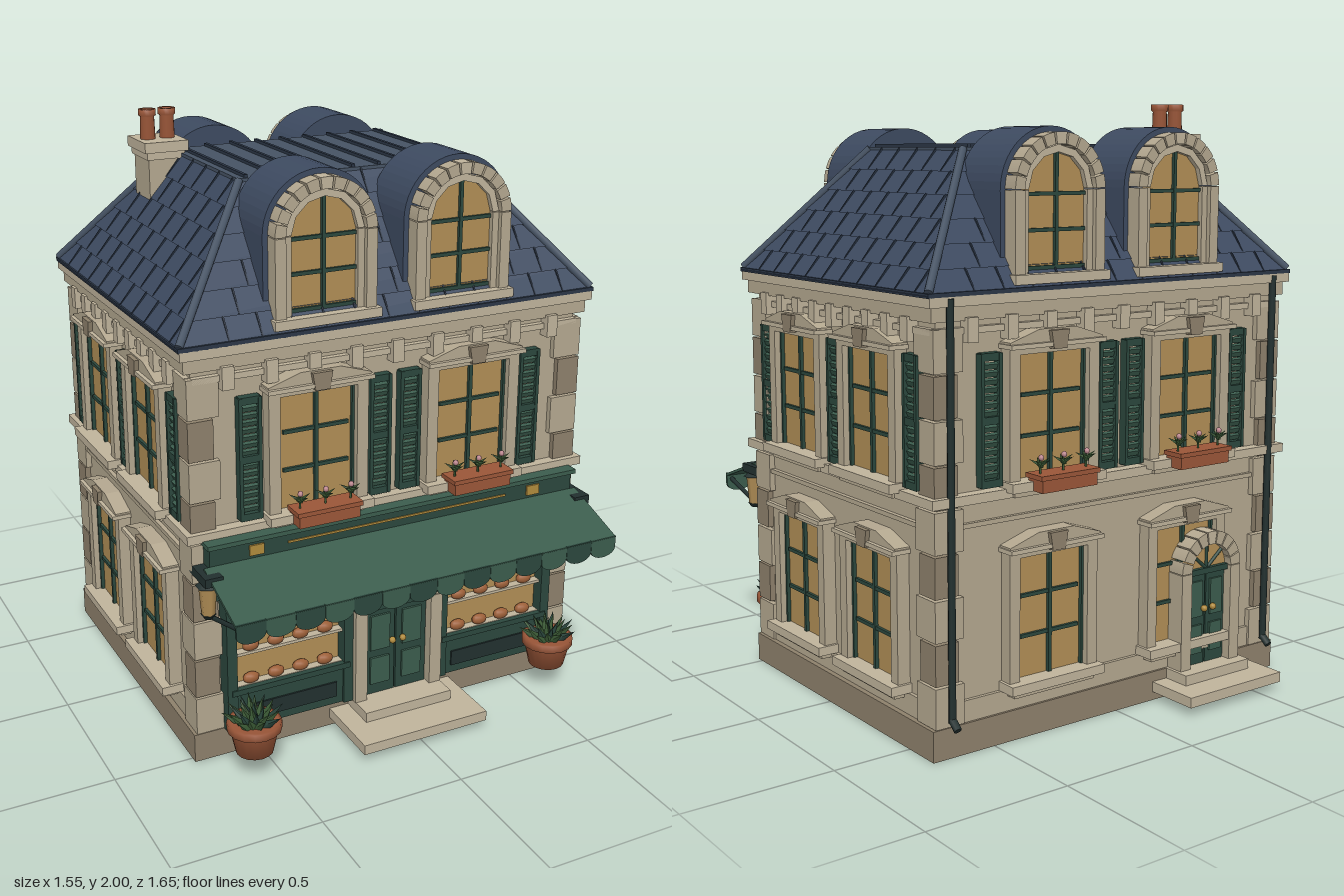
import * as THREE from 'three';

const C = -0.055; // depth centre of the house
const COL = { stone: 0xb3a78f, pale: 0xbfb39b, dark: 0x8d806b, slate: 0x3d4a60, deck: 0x465364, seam: 0x2b3646,
  green: 0x2b473d, awning: 0x3b5c4d, iron: 0x22302f, glass: 0xb08d55, clay: 0x9a5638, leaf: 0x3c5c36, gold: 0xb08a3c, bread: 0x9c5f38, bloom: 0xc08a92 };
const mats = {};
const mat = (c) => (mats[c] ??= new THREE.MeshStandardMaterial({ color: COL[c], side: THREE.DoubleSide, flatShading: false }));

function add(parent, name, col, geo, x = 0, y = 0, z = 0) {
  const m = new THREE.Mesh(geo, mat(col));
  m.name = name;
  m.position.set(x, y, z);
  parent.add(m);
  return m;
}
const box = (p, name, col, w, h, d, x, y, z) => add(p, name, col, new THREE.BoxGeometry(w, h, d), x, y, z);
// box given by its bottom and top heights and its reach from the wall
const slab = (p, name, col, w, y0, y1, z0, z1, x = 0) => box(p, name, col, w, y1 - y0, z1 - z0, x, (y0 + y1) / 2, (z0 + z1) / 2);
const ext = (shape, depth, seg = 14) => new THREE.ExtrudeGeometry(shape, { depth, bevelEnabled: false, curveSegments: seg });
const poly = (pts) => new THREE.Shape(pts.map((p) => new THREE.Vector2(...p)));
function group(parent, name, x = 0, y = 0, z = 0, ry = 0) {
  const g = new THREE.Group();
  g.name = name;
  g.position.set(x, y, z);
  g.rotation.y = ry;
  parent.add(g);
  return g;
}
function rod(p, name, col, a, b, r, sides = 8) {
  const A = new THREE.Vector3(...a), B = new THREE.Vector3(...b), d = B.clone().sub(A);
  const m = add(p, name, col, new THREE.CylinderGeometry(r, r, d.length(), sides));
  m.position.copy(A.add(B).multiplyScalar(0.5));
  m.quaternion.setFromUnitVectors(new THREE.Vector3(0, 1, 0), d.normalize());
  return m;
}
// block tapering from (w0, d0) at y0 to (w1, d1) at y1
function frustum(p, name, col, w0, d0, y0, w1, d1, y1) {
  const g = new THREE.BoxGeometry(1, y1 - y0, 1), a = g.attributes.position;
  for (let i = 0; i < a.count; i++) {
    const top = a.getY(i) > 0;
    a.setXYZ(i, a.getX(i) * (top ? w1 : w0), a.getY(i), a.getZ(i) * (top ? d1 : d0));
  }
  g.computeVertexNormals();
  return add(p, name, col, g, 0, (y0 + y1) / 2, 0);
}
// round-headed filled panel
function archShape(r, y0, yc) {
  const s = new THREE.Shape();
  s.moveTo(-r, y0);
  s.lineTo(r, y0);
  s.lineTo(r, yc);
  s.absarc(0, yc, r, 0, Math.PI);
  return s;
}
// stone surround: legs and separate wedge stones around the head
function archStones(p, r0, r1, y0, yc, z0, z1, n = 9) {
  for (let i = 0; i < n; i++) {
    const a = (i / n) * Math.PI + 0.02, b = ((i + 1) / n) * Math.PI - 0.02, s = new THREE.Shape();
    s.absarc(0, yc, r1, a, b, false);
    s.absarc(0, yc, r0, b, a, true);
    add(p, 'archStone', i === (n - 1) / 2 ? 'pale' : 'stone', ext(s, z1 - z0, 3), 0, 0, z0);
  }
  for (const k of [-1, 1]) slab(p, 'jamb', 'stone', r1 - r0, y0, yc, z0, z1, k * (r0 + r1) / 2);
}

// square-headed window with surround, hood, sill and optional shutters and flower box
function sashWindow(face, u, y0, y1, { shutters = false, flowers = false } = {}) {
  const g = group(face, 'window', u), w = 0.26, h = y1 - y0;
  slab(g, 'pane', 'glass', w, y0, y1, 0, 0.012);
  for (const k of [-1, 1]) {
    slab(g, 'surround', 'stone', 0.04, y0, y1 + 0.03, 0, 0.045, k * 0.155);
    slab(g, 'sashFrame', 'green', 0.008, y0, y1, 0, 0.025, k * 0.13);
  }
  slab(g, 'lintel', 'stone', 0.27, y1, y1 + 0.03, 0, 0.045);
  slab(g, 'mullion', 'green', 0.013, y0, y1, 0, 0.024);
  for (const t of [0.34, 0.67]) slab(g, 'glazingBar', 'green', 0.23, y0 + h * t - 0.006, y0 + h * t + 0.006, 0, 0.022);
  add(g, 'hood', 'stone', ext(poly([[-0.18, 0.02], [0.18, 0.02], [0.18, 0.04], [0.07, 0.075], [-0.07, 0.075], [-0.18, 0.04]]), 0.055), 0, y1, 0);
  slab(g, 'hoodLip', 'pale', 0.37, y1 + 0.02, y1 + 0.034, 0, 0.068);
  add(g, 'keystone', 'dark', ext(poly([[-0.025, 0.012], [0.025, 0.012], [0.035, 0.07], [-0.035, 0.07]]), 0.07), 0, y1, 0);
  slab(g, 'sill', 'pale', 0.37, y0 - 0.03, y0, 0, 0.075);
  slab(g, 'underSill', 'stone', 0.32, y0 - 0.05, y0 - 0.03, 0, 0.05);
  if (shutters) for (const k of [-1, 1]) {
    const s = group(g, 'shutter', k * 0.23);
    for (const e of [-1, 1]) slab(s, 'stile', 'green', 0.012, y0 - 0.01, y1 + 0.01, 0, 0.03, e * 0.033);
    for (const y of [y0, y0 + h * 0.5, y1]) slab(s, 'rail', 'green', 0.07, y - 0.012, y + 0.012, 0, 0.028);
    for (let y = y0 + 0.025; y < y1 - 0.01; y += 0.024) box(s, 'slat', 'awning', 0.058, 0.018, 0.012, 0, y, 0.014).rotation.x = 0.45;
  }
  if (flowers) {
    const f = group(g, 'flowerBox');
    slab(f, 'trough', 'clay', 0.215, 0.815, 0.862, 0.05, 0.122);
    slab(f, 'rim', 'clay', 0.23, 0.855, 0.87, 0.045, 0.128);
    for (const x of [-0.09, 0, 0.09]) {
      rod(f, 'stem', 'leaf', [x, 0.86, 0.086], [x, 0.915, 0.086], 0.004, 5);
      for (let i = 0; i < 5; i++) {
        const a = i * 1.257;
        const l = add(f, 'leaf', 'leaf', new THREE.ConeGeometry(0.009, 0.045, 4), x + Math.cos(a) * 0.016, 0.905, 0.086 + Math.sin(a) * 0.016);
        l.rotation.set(Math.sin(a) * 1.1, 0, -Math.cos(a) * 1.1);
      }
      add(f, 'flower', 'bloom', new THREE.SphereGeometry(0.01, 6, 5), x, 0.92, 0.09);
    }
  }
}

// round-headed double door with fanlight
function archedDoor(face, u, r, yc, out) {
  const g = group(face, 'door', u);
  archStones(g, r, r + 0.045, 0.1, yc, 0, out);
  add(g, 'fanlight', 'glass', ext(archShape(r, yc - 0.005, yc), out - 0.03));
  slab(g, 'transom', 'green', r * 2, yc - 0.015, yc + 0.005, 0, out - 0.015);
  for (const a of [0.7, 1.57, 2.44]) rod(g, 'fanBar', 'green', [0, yc, out - 0.028], [Math.cos(a) * r, yc + Math.sin(a) * r, out - 0.028], 0.006);
  for (const k of [-1, 1]) {
    slab(g, 'leaf', 'green', r - 0.006, 0.1, yc - 0.01, 0, out - 0.03, k * r / 2);
    for (const [a, b] of [[0.14, 0.24], [0.27, yc - 0.04]]) slab(g, 'doorPanel', 'awning', r * 0.6, a, b, 0, out - 0.022, k * r / 2);
    add(g, 'doorKnob', 'gold', new THREE.SphereGeometry(0.012, 8, 6), k * 0.02, 0.3, out - 0.012);
  }
}
function steps(face, u, w, reach) {
  slab(face, 'lowerStep', 'pale', w, 0.03, 0.065, 0, reach, u);
  slab(face, 'upperStep', 'pale', w * 0.7, 0.065, 0.1, 0, reach * 0.56, u);
}

// stonework shared by all four fronts: bands, frieze, brackets and corner stones
function facade(house, name, half, x, z, ry) {
  const f = group(house, name, x, 0, z, ry), W = half * 2;
  slab(f, 'baseBand', 'stone', W, 0.1, 0.17, 0, 0.012);
  slab(f, 'frieze', 'pale', W, 1.31, 1.33, 0, 0.02);
  for (let i = 0; i < 9; i++) slab(f, 'bracket', 'pale', 0.04, 1.285, 1.36, 0, 0.04, (i - 4) * (W - 0.22) / 8);
  for (let i = 0; i < 9; i++) for (const k of [-1, 1]) {
    const w = i % 2 ? 0.085 : 0.105, y = 0.102 + i * 0.137;
    if (y > 0.65 && y < 0.75) slab(f, 'cornerStone', 'stone', w, y, 0.79, 0, 0.02, k * (half + 0.02 - w / 2));
    else slab(f, 'cornerStone', i % 2 ? 'dark' : 'stone', w, y, y + 0.13, 0, 0.02, k * (half + 0.02 - w / 2));
  }
  return f;
}

function shopfront(f) {
  const g = group(f, 'shopfront');
  for (const k of [-1, 1]) {
    const s = group(g, 'shopWindow', k * 0.395);
    slab(s, 'pane', 'glass', 0.4, 0.25, 0.62, 0, 0.015);
    slab(s, 'stallRiser', 'green', 0.42, 0.1, 0.25, 0, 0.05);
    slab(s, 'riserPanel', 'iron', 0.34, 0.13, 0.185, 0, 0.056);
    slab(s, 'windowSill', 'green', 0.43, 0.235, 0.255, 0, 0.065);
    for (const e of [-1, 1]) slab(s, 'pilaster', 'green', 0.035, 0.1, 0.71, 0, 0.06, e * 0.212);
    for (const y of [0.255, 0.375, 0.505]) {
      slab(s, 'shelf', 'pale', 0.39, y - 0.008, y + 0.002, 0, 0.045);
      for (let i = 0; i < 4; i++) add(s, 'loaf', 'bread', new THREE.SphereGeometry(0.03, 10, 7).scale(1, 0.65, 0.6), (i - 1.5) * 0.09, y + 0.018, 0.032);
    }
    // end corbels and lanterns
    slab(g, 'corbel', 'iron', 0.06, 0.685, 0.715, 0, 0.13, k * 0.69);
    add(g, 'lanternGlass', 'glass', new THREE.CylinderGeometry(0.03, 0.022, 0.1, 6), k * 0.695, 0.62, 0.085);
    add(g, 'lanternCap', 'iron', new THREE.ConeGeometry(0.04, 0.035, 6), k * 0.695, 0.688, 0.085);
    add(g, 'lanternFoot', 'iron', new THREE.CylinderGeometry(0.026, 0.015, 0.015, 6), k * 0.695, 0.565, 0.085);
    rod(g, 'awningArm', 'iron', [k * 0.68, 0.545, 0.05], [k * 0.68, 0.62, 0.31], 0.008);
    slab(g, 'fasciaBoss', 'gold', 0.05, 0.735, 0.77, 0, 0.077, k * 0.52);
  }
  slab(g, 'fascia', 'green', 1.36, 0.6, 0.79, 0, 0.07);
  slab(g, 'fasciaCornice', 'awning', 1.38, 0.785, 0.8, 0, 0.085);
  slab(g, 'fasciaTrim', 'gold', 0.82, 0.75, 0.757, 0, 0.074);
  // sloping awning with scalloped edge
  const a = Math.atan2(0.085, 0.245);
  box(g, 'awning', 'awning', 1.4, 0.01, 0.26, 0, 0.677, 0.192).rotation.x = a;
  for (let i = 0; i < 14; i++) {
    const s = new THREE.Shape();
    s.moveTo(0.0495, 0.04);
    s.lineTo(-0.0495, 0.04);
    s.lineTo(-0.0495, 0);
    s.absellipse(0, 0, 0.0495, 0.03, Math.PI, Math.PI * 2, false);
    add(g, 'scallop', i % 2 ? 'awning' : 'green', ext(s, 0.01, 8), (i - 6.5) * 0.1, 0.602, 0.306);
  }
}

function pottedPlant(p, x, z) {
  const g = group(p, 'pottedPlant', x, 0.09, z);
  const prof = [[0, 0], [0.062, 0], [0.08, 0.08], [0.09, 0.082], [0.09, 0.108], [0.078, 0.108], [0, 0.098]];
  add(g, 'pot', 'clay', new THREE.LatheGeometry(prof.map((q) => new THREE.Vector2(...q)), 16));
  for (let i = 0; i < 26; i++) {
    const t = i * 2.4, r = 0.075 * Math.sqrt(i / 26);
    const l = add(g, 'foliage', i % 3 ? 'leaf' : 'green', new THREE.ConeGeometry(0.018, 0.08, 4), Math.cos(t) * r, 0.14 - r * 0.2, Math.sin(t) * r);
    l.rotation.set(Math.sin(t) * r * 13, 0, -Math.cos(t) * r * 13);
  }
}

function roof(house) {
  const g = group(house, 'roof'), rows = 6, L = THREE.MathUtils.lerp;
  const hw = (t) => L(0.745, 0.405, t), hd = (t) => L(0.592, 0.28, t), hy = (t) => L(1.43, 1.85, t);
  for (let r = 0; r < rows; r++) {
    const a = r / rows, b = (r + 1) / rows;
    frustum(g, 'slateCourse', 'slate', hw(a) * 2 + 0.012, hd(a) * 2 + 0.012, hy(a), hw(b) * 2, hd(b) * 2, hy(b));
  }
  // joints between slates, staggered row by row
  for (let s = 0; s < 4; s++) {
    const f = group(g, 'slateJoints', 0, 0, 0, s * Math.PI / 2), [across, out] = s % 2 ? [hd, hw] : [hw, hd];
    const run = out(0) - out(1), tilt = -Math.atan2(run, 0.42), len = Math.hypot(run, 0.42) / rows;
    for (let r = 0; r < rows; r++) {
      const t = (r + 0.5) / rows, w = across(t) - 0.04;
      for (let u = -0.8 + (r % 2) * 0.055; u < w; u += 0.11)
        if (u > -w) box(f, 'joint', 'seam', 0.005, len, 0.012, u, hy(t), out(t)).rotation.x = tilt;
    }
  }
  for (const i of [-1, 1]) for (const k of [-1, 1])
    rod(g, 'hip', 'deck', [i * 0.742, 1.44, k * 0.59], [i * 0.405, 1.85, k * 0.28], 0.014);
  // flat top with standing seams
  slab(g, 'roofDeck', 'deck', 0.82, 1.845, 1.856, -0.285, 0.285);
  for (let i = 0; i < 9; i++) slab(g, 'standingSeam', 'seam', 0.012, 1.85, 1.866, -0.28, 0.28, (i - 4) * 0.095);
  // dormers front and back
  for (const ry of [0, Math.PI]) for (const x of [-0.245, 0.245]) {
    const d = group(group(g, 'dormerSide', 0, 0, 0, ry), 'dormer', x), yc = 1.727;
    add(d, 'dormerHood', 'slate', ext(archShape(0.193, 1.45, yc), 0.215, 12), 0, 0, 0.31);
    archStones(d, 0.138, 0.175, 1.47, yc, 0.5, 0.578, 11);
    archStones(d, 0.114, 0.137, 1.47, yc, 0.5, 0.563, 1);
    add(d, 'dormerPane', 'glass', ext(archShape(0.115, 1.47, yc), 0.035), 0, 0, 0.51);
    slab(d, 'dormerMullion', 'green', 0.012, 1.49, 1.84, 0.54, 0.556);
    for (const y of [1.49, 1.605, 1.715]) slab(d, 'dormerBar', 'green', 0.225, y - 0.006, y + 0.006, 0.54, 0.555);
    slab(d, 'dormerSill', 'pale', 0.37, 1.445, 1.475, 0.5, 0.595);
  }
}

function chimney(root) {
  const g = group(root, 'chimney', -0.465, 0, -0.325);
  slab(g, 'stack', 'stone', 0.12, 1.5, 1.87, -0.07, 0.07);
  slab(g, 'chimneyBand', 'pale', 0.135, 1.84, 1.865, -0.078, 0.078);
  slab(g, 'chimneyCap', 'pale', 0.155, 1.865, 1.9, -0.087, 0.087);
  const prof = [[0.02, 1.9], [0.026, 1.9], [0.024, 1.975], [0.03, 1.98], [0.03, 2], [0.018, 2], [0.018, 1.91]];
  for (const x of [-0.035, 0.035]) add(g, 'chimneyPot', 'clay', new THREE.LatheGeometry(prof.map((q) => new THREE.Vector2(...q)), 14), x);
}

export function createModel() {
  const root = new THREE.Group();
  root.name = 'townhouse';
  const house = group(root, 'house', 0, 0, C);
  slab(house, 'plinth', 'dark', 1.46, 0, 0.1, -0.58, 0.58);
  slab(house, 'walls', 'stone', 1.4, 0.1, 1.42, -0.56, 0.56);
  slab(house, 'stringCourse', 'pale', 1.48, 0.795, 0.825, -0.6, 0.6);
  slab(house, 'lowerBand', 'stone', 1.43, 0.715, 0.73, -0.573, 0.573);
  slab(house, 'cornice', 'stone', 1.46, 1.35, 1.4, -0.585, 0.585);
  slab(house, 'corniceLip', 'pale', 1.49, 1.395, 1.425, -0.6, 0.6);
  slab(house, 'gutter', 'seam', 1.5, 1.424, 1.438, -0.6, 0.6);

  const front = facade(house, 'frontFacade', 0.7, 0, 0.56, 0);
  const back = facade(house, 'backFacade', 0.7, 0, -0.56, Math.PI);
  for (const x of [-0.285, 0.285]) {
    for (const f of [front, back]) sashWindow(f, x, 0.845, 1.235, { shutters: true, flowers: true });
    sashWindow(back, x, 0.2, 0.6);
  }
  for (const k of [-1, 1]) {
    const side = facade(house, 'sideFacade', 0.56, k * 0.7, 0, k * Math.PI / 2);
    for (const u of [-0.23, 0.23]) {
      sashWindow(side, u, 0.845, 1.235, { shutters: true });
      sashWindow(side, u, 0.2, 0.6);
    }
    rod(back, 'drainpipe', 'iron', [k * 0.67, 0.12, 0.035], [k * 0.67, 1.42, 0.035], 0.012);
    rod(back, 'drainShoe', 'iron', [k * 0.67, 0.13, 0.035], [k * 0.67, 0.105, 0.065], 0.013);
  }
  shopfront(front);
  archedDoor(front, 0, 0.122, 0.44, 0.08);
  steps(front, 0, 0.47, 0.275);
  archedDoor(back, 0.37, 0.09, 0.435, 0.078);
  steps(back, 0.37, 0.42, 0.21);
  roof(house);
  chimney(root);
  pottedPlant(root, -0.58, 0.67);
  pottedPlant(root, 0.58, 0.63);
  return root;
}
